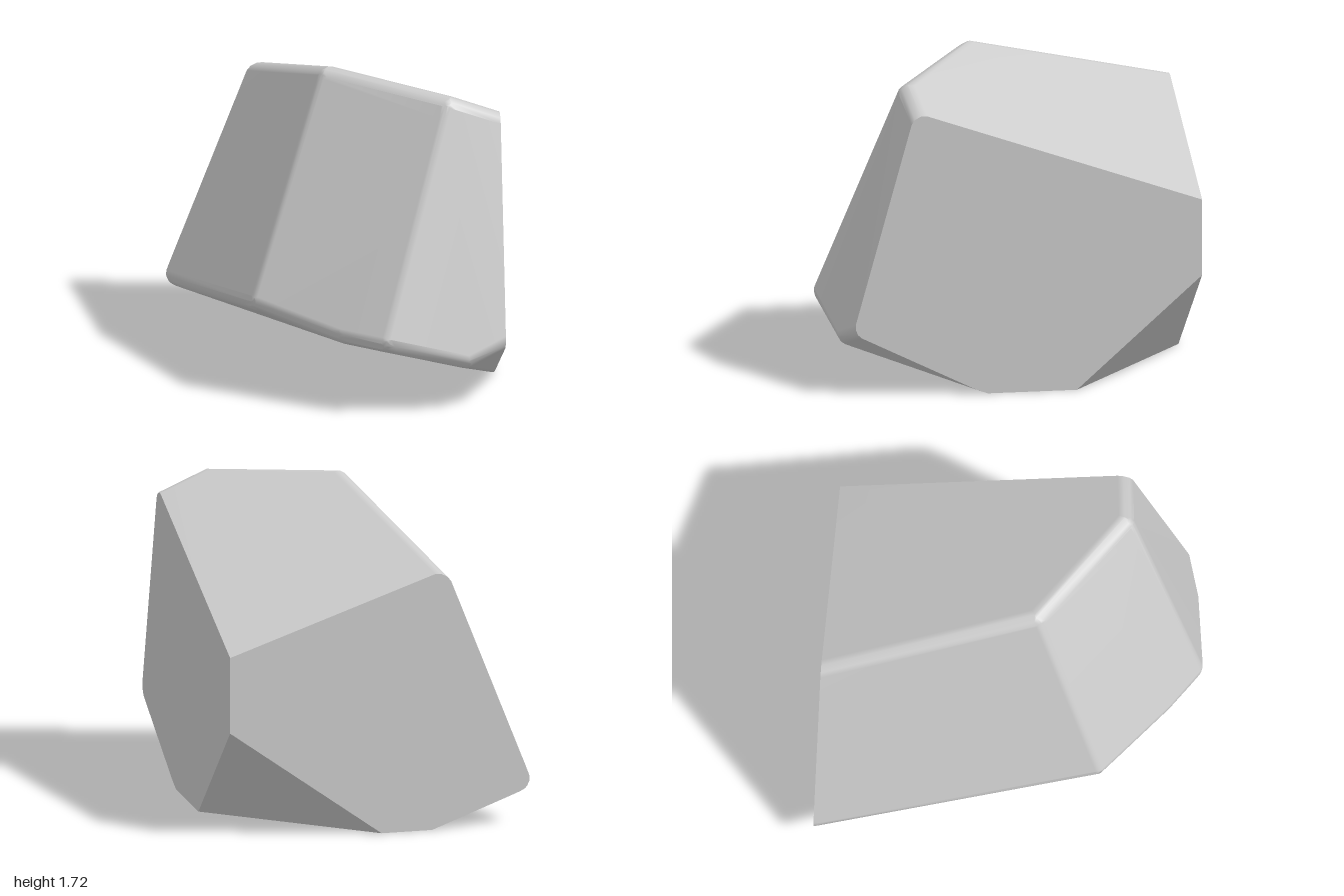
import * as THREE from 'three';
import { ConvexGeometry } from 'three/addons/geometries/ConvexGeometry.js';

const RADIUS = 0.08; // softness of the weathered edges
const CREASE = Math.cos(0.5); // sharper edges than this stay hard
const CENTRE = new THREE.Vector3(0, 0.8, 0);

// Outward plane through three points, as { n, d } with n.p <= d inside
function face(...pts) {
  const [a, b, c] = pts.map((p) => new THREE.Vector3(...p));
  const n = b.clone().sub(a).cross(c.clone().sub(a)).normalize();
  if (n.dot(CENTRE) > n.dot(a)) n.negate();
  return { n, d: n.dot(a) };
}

// Corners of the convex solid bounded by a set of planes
function corners(planes) {
  const found = [];
  const bc = new THREE.Vector3(), ca = new THREE.Vector3(), ab = new THREE.Vector3();
  const p = new THREE.Vector3();
  for (let i = 0; i < planes.length; i++) {
    for (let j = i + 1; j < planes.length; j++) {
      const A = planes[i], B = planes[j];
      ab.crossVectors(A.n, B.n);
      if (ab.lengthSq() < 1e-8) continue;
      for (let k = j + 1; k < planes.length; k++) {
        const C = planes[k];
        const det = ab.dot(C.n);
        if (Math.abs(det) < 1e-6) continue;
        bc.crossVectors(B.n, C.n);
        ca.crossVectors(C.n, A.n);
        p.set(0, 0, 0).addScaledVector(bc, A.d).addScaledVector(ca, B.d)
          .addScaledVector(ab, C.d).divideScalar(det);
        if (planes.some((q) => q.n.dot(p) > q.d + 1e-5)) continue;
        if (!found.some((q) => q.distanceTo(p) < 5e-3)) found.push(p.clone());
      }
    }
  }
  return found;
}

// Area-weighted normals, so broad faces stay flat and only the bevels blend
function softenNormals(geometry) {
  const pos = geometry.attributes.position;
  const verts = Array.from({ length: pos.count }, (_, i) => new THREE.Vector3().fromBufferAttribute(pos, i));
  const around = new Map();
  const key = (v) => v.toArray().map((c) => c.toFixed(4)).join();
  const areas = [];
  for (let i = 0; i < verts.length; i += 3) {
    const [a, b, c] = verts.slice(i, i + 3);
    const area = b.clone().sub(a).cross(c.clone().sub(a));
    areas.push(area);
    for (const v of [a, b, c]) around.set(key(v), [...(around.get(key(v)) ?? []), area]);
  }
  verts.forEach((v, i) => {
    const own = areas[Math.floor(i / 3)];
    const sum = own.clone();
    for (const other of around.get(key(v))) {
      if (other !== own && other.dot(own) > CREASE * other.length() * own.length()) sum.add(other);
    }
    sum.normalize();
    geometry.attributes.normal.setXYZ(i, sum.x, sum.y, sum.z);
  });
  return geometry;
}

export function createModel() {
  // Clean, sharp cuts: side, back, base and the lower back corner
  const cuts = [
    face([0.83, 0, 0], [0.83, 1, 0], [0.83, 0, 1]),
    face([0, 0, -1], [1, 0, -1], [0, 1, -1]),
    face([0, 0, 0], [1, 0, 0], [0, 0, 1]),
    face([0.83, 0.61, -1], [0.83, 0, -0.32], [-0.01, 0, -1]),
  ];

  // Weathered faces that meet in rounded edges
  const soft = [
    face([0.83, 1.55, 0.48], [0.83, 1.03, -1], [-0.35, 1.435, -1]), // top
    face([-0.38, 1.415, -1], [-0.825, 0.28, -1], [-0.495, 0.58, 0.5]), // left slope
    face([-0.45, 0.6, 0.53], [0.12, 0.5, 0.95], [0.5, 1.6, 0.6]), // front
    face([0.83, 1.5, 0.58], [0.83, 0.41, 0.88], [0.19, 0.48, 1]), // front corner
    face([-0.8, 0.19, -1], [-0.49, 0.49, 0.52], [-0.03, 0.38, 0.85]), // left underside
    face([-0.8, 0.19, -1], [-0.29, 0, -1], [-0.03, 0.38, 0.85]), // back underside
    face([0.83, 0, 0.18], [0.62, 0.24, 0.9], [0.05, 0.37, 0.88]), // front underside
    face([0.83, 0, 0.18], [0.83, 0.34, 0.86], [0.62, 0.24, 0.9]), // corner underside
  ];

  // Inner core, then planes tangent to the core grown by the edge radius
  const core = corners([...cuts, ...soft.map(({ n, d }) => ({ n, d: d - RADIUS }))]);
  const bevels = [];
  const addBevel = (n) => {
    n.normalize();
    bevels.push({ n, d: Math.max(...core.map((p) => p.dot(n))) + RADIUS });
  };
  soft.forEach((a, i) => soft.slice(i + 1).forEach((b, j) => {
    for (const t of [0.25, 0.5, 0.75]) addBevel(a.n.clone().lerp(b.n, t));
    soft.slice(i + j + 2).forEach((c) => addBevel(a.n.clone().add(b.n).add(c.n)));
  }));

  const hull = new ConvexGeometry(corners([...cuts, ...soft, ...bevels]));
  const rock = new THREE.Mesh(
    softenNormals(hull),
    new THREE.MeshStandardMaterial({ color: 0xcccccc }),
  );
  rock.name = 'rock';

  const group = new THREE.Group();
  group.name = 'boulder';
  group.add(rock);
  return group;
}
